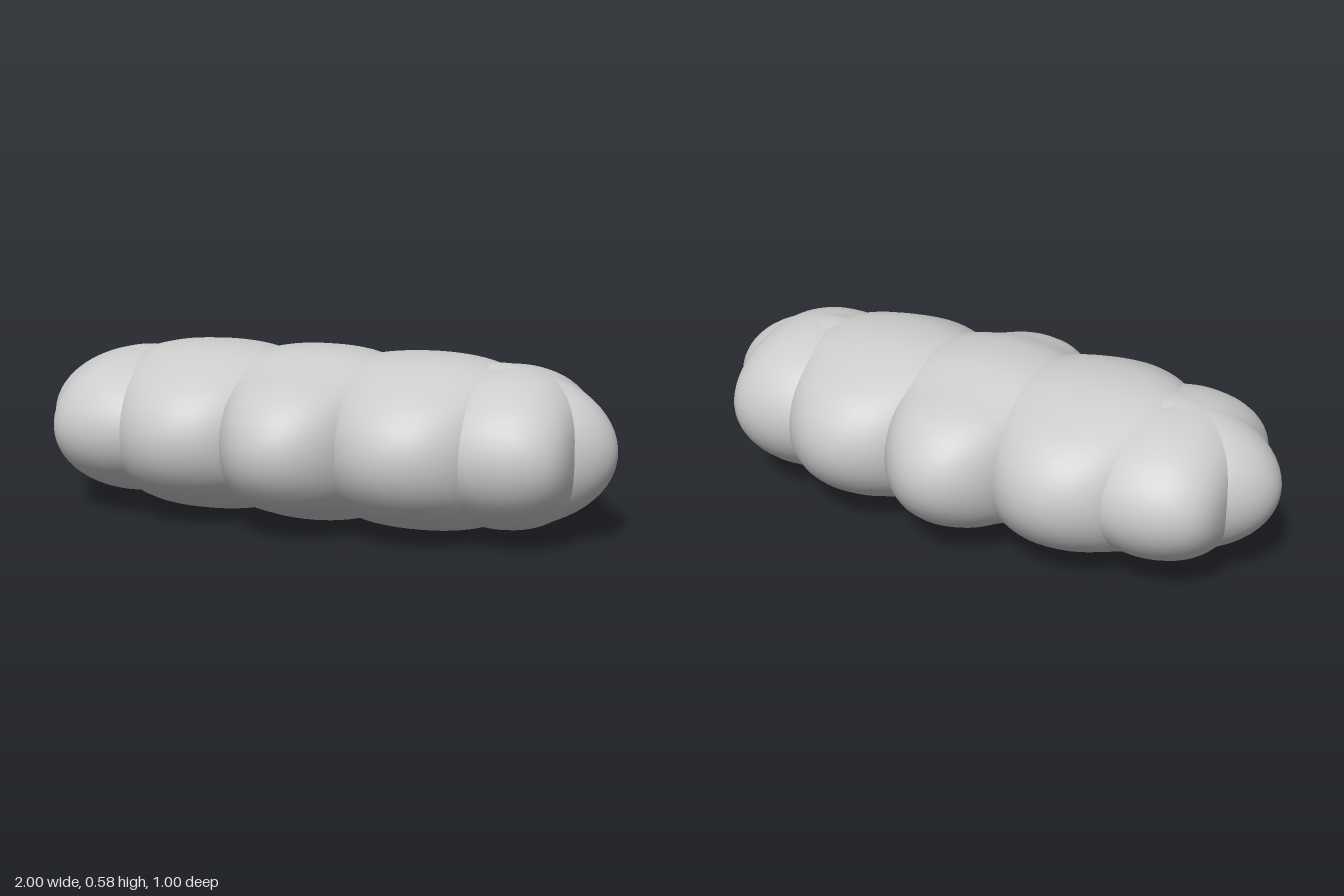
import * as THREE from 'three';
import { mergeVertices } from 'three/addons/utils/BufferGeometryUtils.js';

const material = new THREE.MeshStandardMaterial({ color: 0xcccccc });
const MID = 0.29; // height of the body's centre line

// Sphere with its poles on x, reshaped by a rule: (u, v, w, f) -> position.
// f is the radius of the unit sphere's section at u.
function blob(name, rule) {
  const geo = new THREE.SphereGeometry(1, 48, 32).rotateZ(Math.PI / 2);
  geo.deleteAttribute('uv');
  geo.deleteAttribute('normal');
  const pos = geo.attributes.position;
  for (let i = 0; i < pos.count; i++) {
    const u = pos.getX(i), v = pos.getY(i), w = pos.getZ(i);
    const f = Math.max(Math.hypot(v, w), 1e-3);
    pos.setXYZ(i, ...rule(u, v, w, f));
  }
  const merged = mergeVertices(geo, 1e-5);
  merged.computeVertexNormals();
  const mesh = new THREE.Mesh(merged, material);
  mesh.name = name;
  return mesh;
}

// Cross lobe: powers py and pz set how bluntly its sections shrink along x
function lobe(name, { x, rx, ry, front, back, py, pz, waist = 0, y = MID }) {
  return blob(name, (u, v, w, f) => {
    const z = w * Math.pow(f, pz - 1) * (w > 0 ? front : back);
    const dip = 1 - waist * Math.exp(-(((Math.abs(z) - 0.25) / 0.09) ** 2));
    return [x + u * rx, y + v * Math.pow(f, py - 1) * ry * dip, z];
  });
}

export function createModel() {
  const group = new THREE.Group();
  group.name = 'lobedBody';

  // Long rounded core
  group.add(blob('core', (u, v, w) => {
    const right = u > 1e-4, left = u < -1e-4;
    const ry = right ? 0.268 : left ? 0.256 : 0.262;
    const rz = right ? 0.215 : left ? 0.25 : 0.235;
    const shift = right ? 0.6 : left ? -0.6 : 0;
    return [u * 0.4 + shift, MID + v * ry, w * rz];
  }));

  // Middle and intermediate lobes
  group.add(lobe('middleLobe', {
    x: 0, rx: 0.3, ry: 0.289, front: 0.497, back: 0.5, py: 0.3, pz: 1, waist: 0.08,
  }));
  for (const s of [-1, 1]) {
    group.add(lobe(s < 0 ? 'rightInnerLobe' : 'leftInnerLobe', {
      x: s * 0.375, rx: 0.33, ry: 0.286, front: 0.44, back: 0.448, py: 0.3, pz: 0.95, waist: 0.04,
    }));
  }

  // Blunt end lobes
  group.add(lobe('rightEndLobe', {
    x: -0.65, rx: 0.245, ry: 0.25, front: 0.375, back: 0.382, py: 0.6, pz: 0.4,
  }));
  group.add(lobe('leftEndLobe', {
    x: 0.66, rx: 0.24, ry: 0.262, front: 0.348, back: 0.36, py: 0.6, pz: 0.4,
  }));
  return group;
}
